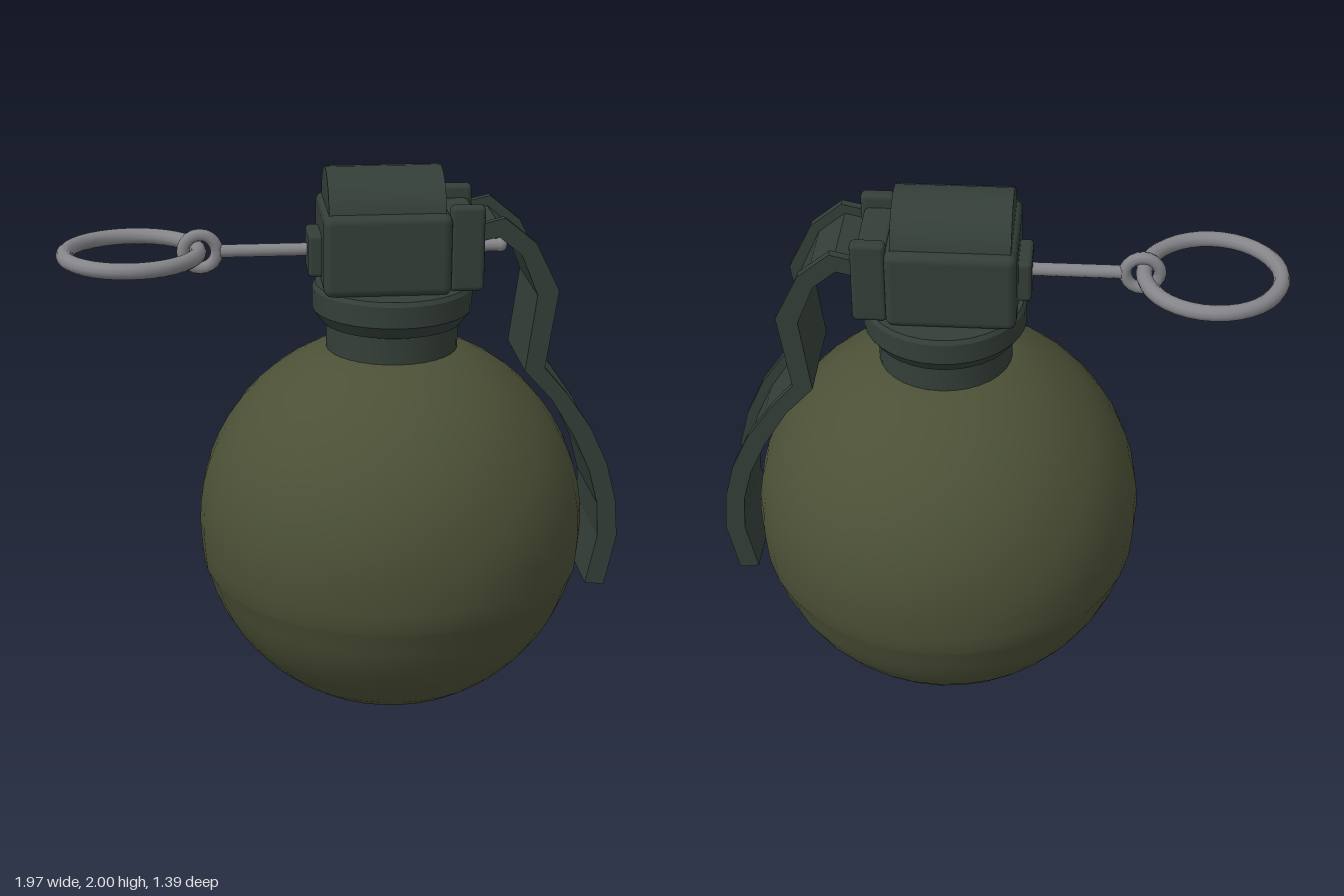
import * as THREE from 'three';
import { RoundedBoxGeometry } from 'three/addons/geometries/RoundedBoxGeometry.js';
import { toCreasedNormals } from 'three/addons/utils/BufferGeometryUtils.js';

const AXIS_X = 0.175; // the body sits off centre, balanced by the pull ring

export function createModel() {
  const model = new THREE.Group();
  model.name = 'grenade';
  const material = (name, color) => {
    const m = new THREE.MeshStandardMaterial({ color });
    m.name = name;
    return m;
  };
  const olive = material('olive', 0x4b5036);
  const darkGreen = material('dark green', 0x343e38);
  const steel = material('steel', 0x85858a);

  const add = (name, geometry, mat, x = 0, y = 0, z = 0) => {
    const mesh = new THREE.Mesh(geometry, mat);
    mesh.name = name;
    mesh.position.set(x, y, z);
    model.add(mesh);
    return mesh;
  };
  const lathe = (points, segments, crease) => toCreasedNormals(
    new THREE.LatheGeometry(points.map(([r, y]) => new THREE.Vector2(r, y)), segments), crease);
  const box = (name, w, h, d, radius, x, y, z) =>
    add(name, new RoundedBoxGeometry(w, h, d, 2, radius), darkGreen, x, y, z);

  // Body: a ball whose upper shell slightly overlaps the lower one
  const R = 0.695;
  const profile = [];
  for (let i = 0; i <= 12; i++) {
    const a = (i / 12) * 1.335;
    profile.push([R * Math.sin(a), R - R * Math.cos(a)]);
  }
  profile.push([0.684, 0.55]);
  for (let i = 0; i <= 12; i++) {
    const a = -0.12 + (i / 12) * 1.352;
    profile.push([R * Math.cos(a), R + 0.005 + R * Math.sin(a)]);
  }
  profile.push([0, 1.36]);
  add('body', lathe(profile, 36, 0.5), olive, AXIS_X);

  // Neck and collar
  add('neck', lathe([[0, 1.33], [0.233, 1.33], [0.233, 1.47], [0, 1.47]], 32, 0.5), darkGreen, AXIS_X);
  add('collar', lathe([[0, 1.455], [0.25, 1.455], [0.282, 1.5], [0.282, 1.575],
    [0.272, 1.59], [0, 1.59]], 32, 0.4), darkGreen, AXIS_X);

  // Fuse head with a barrel-shaped top
  box('fuseHead', 0.44, 0.285, 0.41, 0.03, 0.14, 1.728, 0);
  const barrel = new THREE.CylinderGeometry(0.18, 0.18, 0.4, 20);
  barrel.rotateZ(Math.PI / 2);
  add('barrelTop', barrel, darkGreen, 0.14, 1.82, 0);
  box('pinBoss', 0.07, 0.15, 0.17, 0.015, -0.09, 1.705, 0);

  // Hinge ears and the bar between them
  for (const side of [-1, 1]) box('hingeEar', 0.12, 0.3, 0.05, 0.018, 0.413, 1.745, side * 0.16);
  box('hingeBar', 0.11, 0.07, 0.29, 0.02, 0.405, 1.815, 0);

  // Safety lever: a channel with a recessed web between two side flanges
  const outer = [[0.41, 1.82], [0.54, 1.85], [0.65, 1.76], [0.735, 1.59], [0.695, 1.31],
    [0.78, 1.21], [0.87, 1.08], [0.935, 0.94], [0.972, 0.8], [0.984, 0.66], [0.945, 0.465]];
  const inner = [[0.41, 1.76], [0.52, 1.785], [0.6, 1.72], [0.66, 1.575], [0.625, 1.3],
    [0.725, 1.19], [0.81, 1.05], [0.87, 0.92], [0.905, 0.79], [0.913, 0.66], [0.875, 0.475]];
  const webOuter = inner.map(([x, y], i) =>
    [x + (outer[i][0] - x) * 0.45, y + (outer[i][1] - y) * 0.45]);
  const strip = (name, top, depth, z) => {
    const shape = new THREE.Shape(
      [...top, ...[...inner].reverse()].map(([x, y]) => new THREE.Vector2(x, y)));
    const geometry = new THREE.ExtrudeGeometry(shape, { depth, bevelEnabled: false });
    geometry.translate(0, 0, -depth / 2);
    add(name, geometry, darkGreen, 0, 0, z);
  };
  strip('leverWeb', webOuter, 0.3, 0);
  for (const side of [-1, 1]) strip('leverFlange', outer, 0.03, side * 0.163);

  // Safety pin with its eye and pull ring
  const pin = new THREE.CylinderGeometry(0.023, 0.023, 0.98, 12);
  pin.rotateZ(Math.PI / 2);
  add('safetyPin', pin, steel, 0.065, 1.71, 0);
  add('pinTip', new THREE.SphereGeometry(0.025, 12, 8), steel, 0.555, 1.71, 0);
  add('pinEye', new THREE.TorusGeometry(0.059, 0.022, 8, 20), steel, -0.495, 1.71, 0);
  const ring = new THREE.TorusGeometry(0.231, 0.028, 10, 36);
  ring.rotateX(Math.PI / 2);
  add('pullRing', ring, steel, -0.731, 1.71, 0);

  return model;
}
